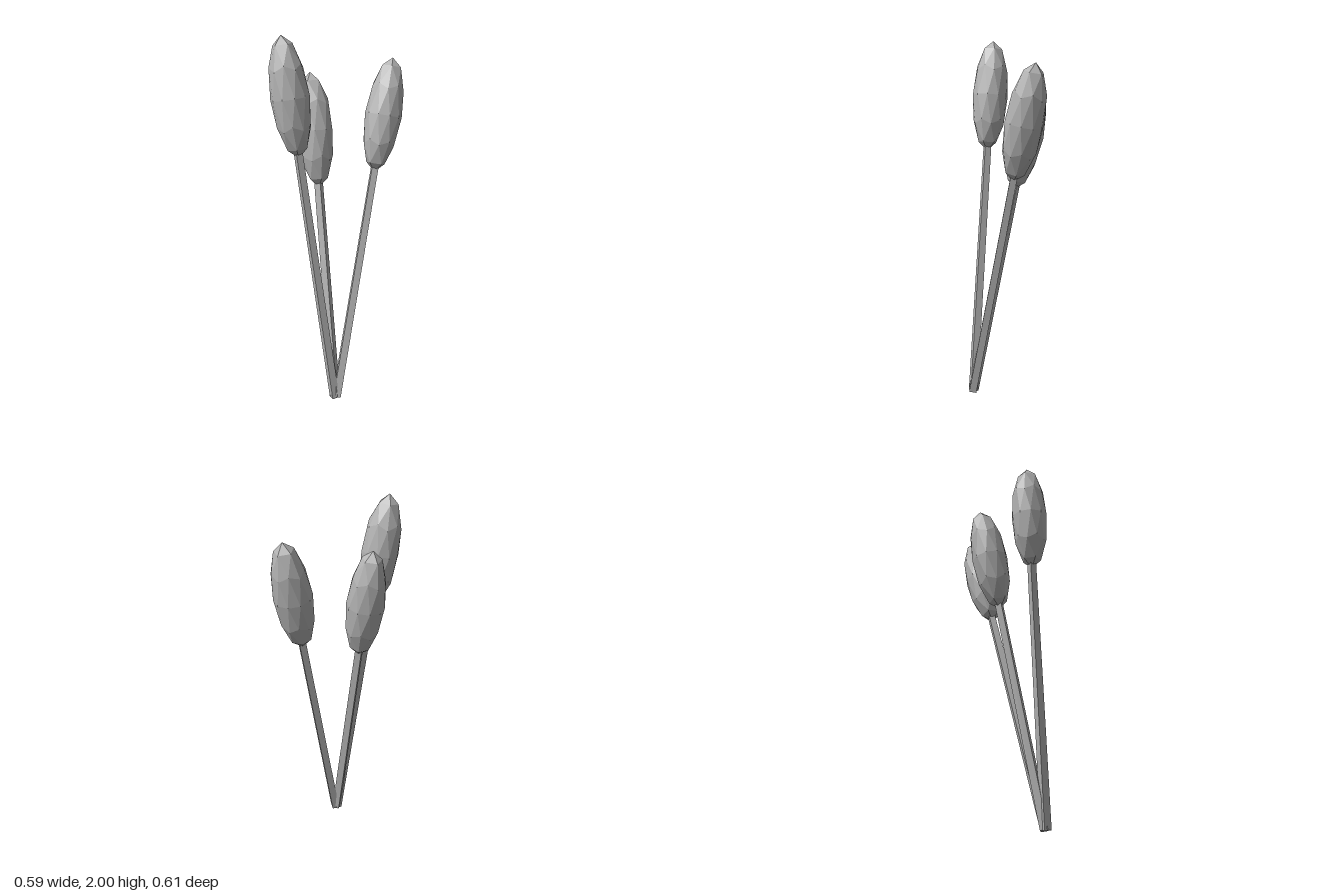
import * as THREE from 'three';

const HEAD_RADIUS = 0.1;
const HEAD_HALF_HEIGHT = 0.308;

// Stem foot and the centre of the seed head it carries
const STALKS = [
  { name: 'frontStalk', foot: [0.042, 0.006, 0.205], head: [-0.19, 1.695, 0.205] },
  { name: 'middleStalk', foot: [0.045, 0.01, 0.2], head: [-0.152, 1.485, -0.036] },
  { name: 'backStalk', foot: [0.053, 0.01, 0.2], head: [0.19, 1.56, -0.185] },
];

// Faceted ball with a corner at its pole, stretched along y
function headGeometry() {
  const golden = (1 + Math.sqrt(5)) / 2;
  const g = new THREE.IcosahedronGeometry(1, 1);
  g.rotateX(-Math.atan(golden));
  g.scale(HEAD_RADIUS, HEAD_HALF_HEIGHT, HEAD_RADIUS);
  return g;
}

export function createModel() {
  const model = new THREE.Group();
  model.name = 'reeds';
  const grey = new THREE.MeshStandardMaterial({ color: 0xb4b4b4, flatShading: true });
  grey.name = 'plain grey';
  const headGeo = headGeometry();

  for (const { name, foot, head } of STALKS) {
    const dir = new THREE.Vector3(...head).sub(new THREE.Vector3(...foot));
    const length = dir.length();
    dir.normalize();

    // Each stalk is built upright, then leaned towards its local +z
    const stalk = new THREE.Group();
    stalk.name = name;
    stalk.position.set(...foot);
    stalk.rotation.order = 'YXZ';
    stalk.rotation.y = Math.atan2(dir.x, dir.z);
    stalk.rotation.x = Math.acos(dir.y);

    // Four-sided stem, ending just inside the head
    const stemLength = length - HEAD_HALF_HEIGHT + 0.03;
    const stemGeo = new THREE.CylinderGeometry(0.025, 0.029, stemLength, 4);
    stemGeo.translate(0, stemLength / 2, 0);
    const stem = new THREE.Mesh(stemGeo, grey);
    stem.name = 'stem';

    const seedHead = new THREE.Mesh(headGeo, grey);
    seedHead.name = 'seedHead';
    seedHead.position.y = length;

    stalk.add(stem, seedHead);
    model.add(stalk);
  }
  return model;
}
